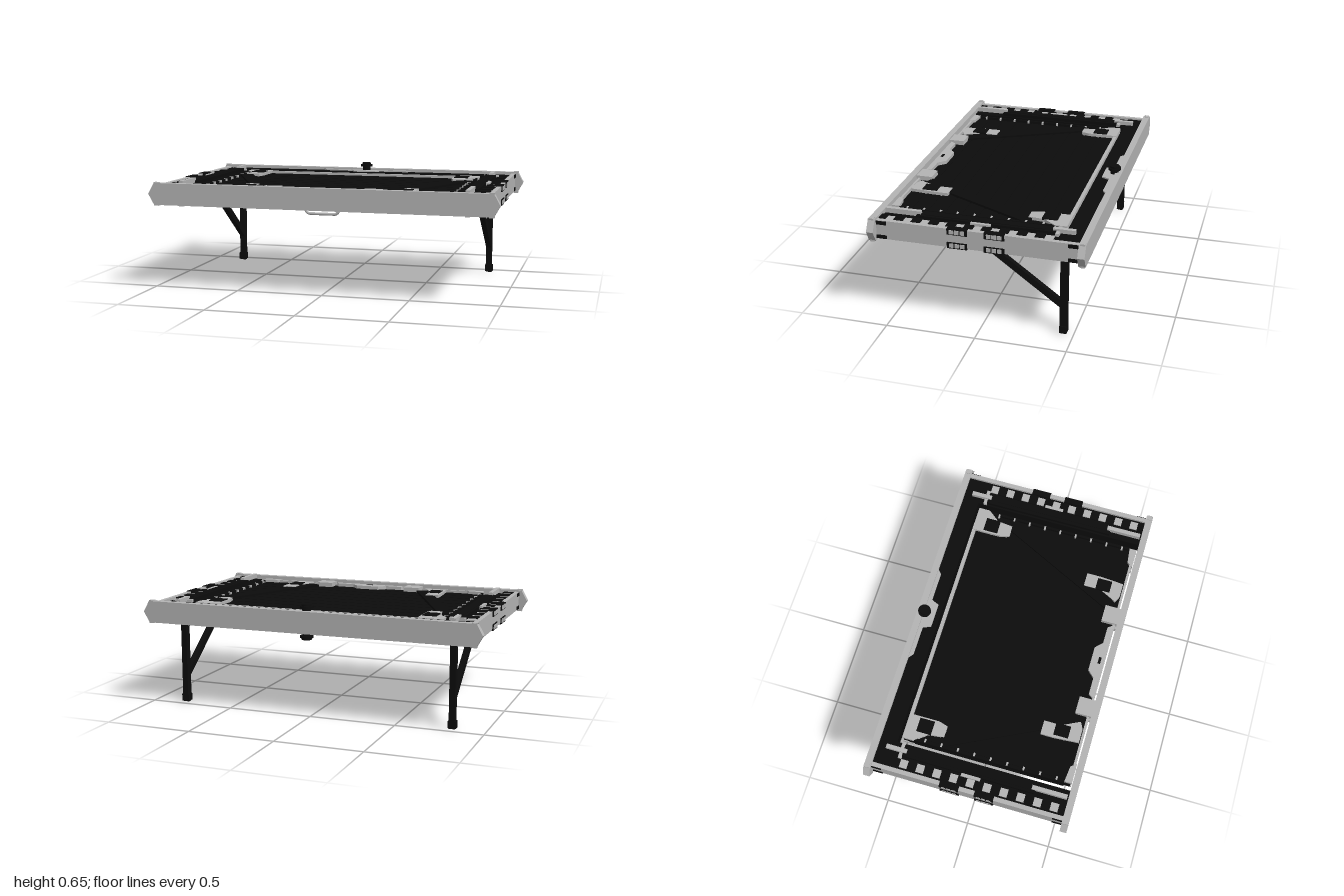
import * as THREE from 'three';

const grey = new THREE.MeshStandardMaterial({ color: 0xb4b4b4 });
grey.name = 'light grey metal';
const black = new THREE.MeshStandardMaterial({ color: 0x0c0c0c });
black.name = 'black';

const MID = 0.552; // mid height of the frame

export function createModel() {
  const root = new THREE.Group();
  root.name = 'framedPanelOnLegs';

  const add = (name, geo, mat) => {
    const m = new THREE.Mesh(geo, mat);
    m.name = name;
    root.add(m);
    return m;
  };
  // box from its limits on each axis
  const box = (name, mat, x0, x1, y0, y1, z0, z1) => {
    const m = add(name, new THREE.BoxGeometry(Math.abs(x1 - x0), Math.abs(y1 - y0), Math.abs(z1 - z0)), mat);
    m.position.set((x0 + x1) / 2, (y0 + y1) / 2, (z0 + z1) / 2);
    return m;
  };
  // flat plate from an [x, z] outline, between two heights
  const plate = (name, mat, pts, y0, y1) => {
    const shape = new THREE.Shape(pts.map(([x, z]) => new THREE.Vector2(x, -z)));
    const geo = new THREE.ExtrudeGeometry(shape, { depth: Math.abs(y1 - y0), bevelEnabled: false });
    geo.rotateX(-Math.PI / 2);
    add(name, geo, mat).position.y = Math.min(y0, y1);
  };
  // square bar between two points
  const bar = (name, mat, a, b, w, h) => {
    const p = new THREE.Vector3(...a), q = new THREE.Vector3(...b);
    const m = add(name, new THREE.BoxGeometry(w, h, p.distanceTo(q)), mat);
    m.position.copy(p).add(q).multiplyScalar(0.5);
    m.lookAt(q);
  };

  // front and back rails with pointed ends
  const railShape = new THREE.Shape([[-1, 0.552], [-0.965, 0.49], [0.965, 0.49], [1, 0.552], [0.965, 0.615], [-0.965, 0.615]]
    .map(([x, y]) => new THREE.Vector2(x, y)));
  for (const [name, z] of [['frontRail', 0.547], ['backRail', -0.585]]) {
    add(name, new THREE.ExtrudeGeometry(railShape, { depth: 0.038, bevelEnabled: false }), grey).position.z = z;
  }

  // inner panel with planks
  box('panelCore', black, -0.74, 0.74, 0.53, 0.575, -0.43, 0.535);
  for (let i = 0; i < 10; i++) {
    const z = -0.41 + i * 0.094;
    box('panelPlank', black, -0.72, 0.72, 0.525, 0.58, z, z + 0.084);
  }
  // black cross beam behind the panel
  box('backBeam', black, -0.92, 0.92, 0.505, 0.597, -0.547, -0.452);

  for (const s of [1, -1]) { // left and right halves
    const X = (x) => s * x;

    // side rail, side beam and track
    box('sideRail', grey, X(0.925), X(0.95), 0.5, 0.605, -0.547, 0.547);
    box('sideTray', black, X(0.775), X(0.925), 0.515, 0.59, -0.547, 0.547);
    box('sideBeam', black, X(0.785), X(0.85), 0.495, 0.61, -0.4, 0.36);
    box('sideBeamGroove', black, X(0.805), X(0.835), 0.493, 0.613, -0.34, 0.32);

    // leg with foot and brace
    box('leg', black, X(0.795), X(0.828), 0.03, 0.5, -0.463, -0.422);
    box('legFoot', black, X(0.79), X(0.835), 0.005, 0.045, -0.463, -0.422);
    box('legSole', black, X(0.795), X(0.83), 0, 0.01, -0.456, -0.429);
    bar('legBrace', black, [X(0.81), 0.49, 0.005], [X(0.81), 0.165, -0.44], 0.03, 0.036);
    bar('legHinge', black, [X(0.81), 0.495, -0.32], [X(0.81), 0.46, -0.43], 0.035, 0.025);
    box('braceStop', black, X(0.795), X(0.84), 0.463, 0.5, 0.055, 0.12);

    for (const t of [1, -1]) { // upper and lower faces
      const Y = (h) => MID + t * h;

      // checker blocks along the side track
      for (let i = 0; i < 10; i++) {
        const z = -0.4 + i * 0.096;
        box('trackBlock', grey, X(0.865), X(0.912), Y(0.02), Y(0.045), z, z + 0.045);
        box('trackSpacer', black, X(0.858), X(0.918), Y(0.02), Y(0.05), z + 0.045, z + 0.096);
      }
      box('trackCentreTab', grey, X(0.85), X(0.868), Y(0.02), Y(0.06), -0.055, 0.055);

      // windowed clips on the side rail
      for (const z of [-0.1, 0.1]) {
        box('railClip', black, X(0.92), X(0.955), Y(0.022), Y(0.056), z - 0.055, z + 0.055);
        for (let k = -1; k <= 1; k++) {
          box('railClipPane', grey, X(0.953), X(0.958), Y(0.027), Y(0.05), z + k * 0.029 - 0.012, z + k * 0.029 + 0.012);
        }
      }
      // slots and caps at the corners
      for (const z of [-1, 1]) {
        box('cornerSlot', black, X(0.945), X(0.954), Y(0.03), Y(0.05), z * 0.49, z * 0.546);
        box('cornerCap', grey, X(0.94), X(0.968), Y(0.05), Y(0.067), z * 0.553, z * 0.58);
      }

      // grey guide rods on the side beam
      box('frontGuideRod', grey, X(0.808), X(0.832), Y(0.045), Y(0.073), 0.34, 0.54);
      box('backGuideRod', grey, X(0.808), X(0.832), Y(0.045), Y(0.068), -0.5, -0.38);
      box('guideRodCollar', grey, X(0.775), X(0.865), Y(0.04), Y(0.056), -0.42, -0.4);

      // panel edge trim and teeth
      box('panelSideTrim', black, X(0.728), X(0.742), Y(0.015), Y(0.04), -0.4, 0.5);
      for (let i = 0; i < 9; i++) {
        box('panelTooth', grey, X(0.717), X(0.738), Y(0.02), Y(0.042), -0.31 + i * 0.095, -0.3 + i * 0.095);
      }

      // diagonal strut across the panel
      bar('panelStrut', black, [X(0.7), Y(0.032), -0.22], [X(0.36), Y(0.032), 0.47], 0.075, 0.016);

      // corner bracket at the back
      plate('backBracket', grey, [[0.745, -0.435], [0.6, -0.435], [0.6, -0.26], [0.615, -0.21], [0.68, -0.21], [0.69, -0.3], [0.745, -0.37]]
        .map(([x, z]) => [X(x), z]), Y(0.025), Y(0.045));
      box('backBracketInset', black, X(0.61), X(0.69), Y(0.04), Y(0.05), -0.37, -0.285);
      // bracket near the front
      plate('frontBracket', grey, [[0.43, 0.3], [0.51, 0.3], [0.51, 0.38], [0.5, 0.52], [0.42, 0.52], [0.38, 0.5], [0.43, 0.4]]
        .map(([x, z]) => [X(x), z]), Y(0.025), Y(0.045));
      box('frontBracketInset', black, X(0.425), X(0.495), Y(0.04), Y(0.05), 0.37, 0.455);
      box('frontLatch', grey, X(0.24), X(0.34), Y(0.02), Y(0.055), 0.455, 0.549);
      plate('frontCornerTrim', grey, [[0.735, 0.5], [0.735, 0.542], [0.62, 0.542], [0.645, 0.51]]
        .map(([x, z]) => [X(x), z]), Y(0.02), Y(0.045));
    }
  }

  for (const t of [1, -1]) { // centre details, upper and lower
    const Y = (h) => MID + t * h;
    box('panelBackTrim', grey, -0.72, 0.72, Y(0.02), Y(0.042), -0.436, -0.416);
    box('panelFrontTrim', grey, -0.72, 0.72, Y(0.02), Y(0.042), 0.524, 0.537);
    plate('frontCentrePlate', grey, [[-0.23, 0.53], [-0.21, 0.5], [-0.11, 0.5], [-0.07, 0.46], [0.07, 0.46], [0.11, 0.5], [0.21, 0.5], [0.23, 0.53]],
      Y(0.02), Y(0.048));
    box('frontCentreSlot', black, -0.02, 0.02, Y(0.04), Y(0.05), 0.5, 0.515);
    plate('backCentrePlate', grey, [[-0.29, -0.55], [0.29, -0.55], [0.26, -0.525], [0.09, -0.525], [0.07, -0.48], [-0.07, -0.48], [-0.09, -0.525], [-0.26, -0.525]],
      Y(0.03), Y(0.053));

    // knob on the back rail
    const knob = new THREE.Group();
    knob.name = 'backKnob';
    for (const [r, h, y] of [[0.024, 0.04, 0.065], [0.037, 0.013, 0.083], [0.028, 0.012, 0.094]]) {
      const m = new THREE.Mesh(new THREE.CylinderGeometry(r, r, h, 20), black);
      m.name = 'knobDisc';
      m.position.y = t * y;
      knob.add(m);
    }
    knob.position.set(0, MID, -0.54);
    root.add(knob);
  }

  // pull handle below the front edge
  const path = new THREE.CatmullRomCurve3([[-0.095, 0.51], [-0.095, 0.475], [-0.075, 0.46], [0.075, 0.46], [0.095, 0.475], [0.095, 0.51]]
    .map(([x, y]) => new THREE.Vector3(x, y, 0.48)), false, 'catmullrom', 0.15);
  add('pullHandle', new THREE.TubeGeometry(path, 32, 0.008, 8), grey);

  return root;
}
